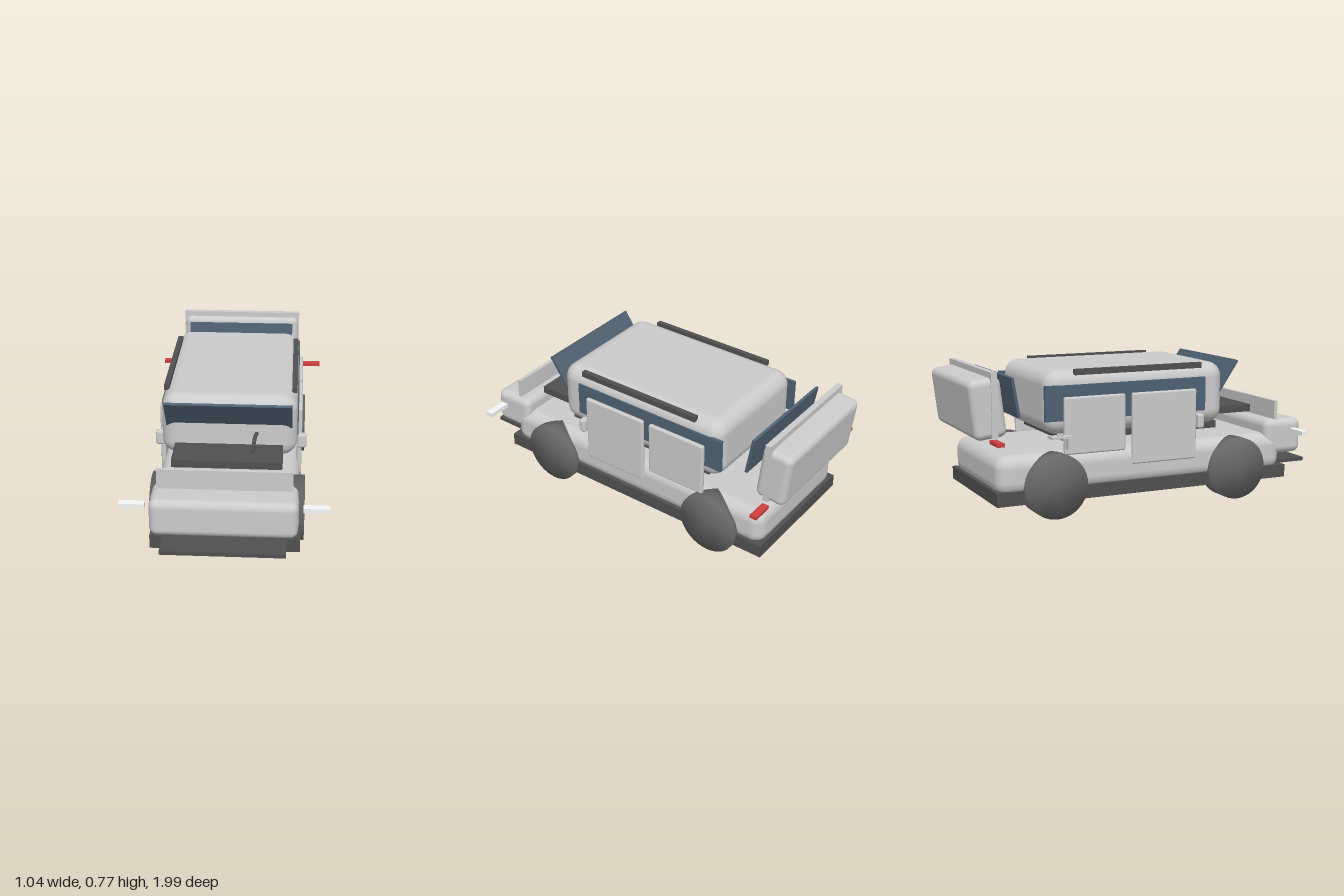
import * as THREE from 'three';
import { RoundedBoxGeometry } from 'three/addons/geometries/RoundedBoxGeometry.js';
import { mergeVertices } from 'three/addons/utils/BufferGeometryUtils.js';

const mat = (color) => new THREE.MeshStandardMaterial({ color });
const body = mat(0xcccccc);
const dark = mat(0x505050);
const tyre = mat(0x686868);
const glass = mat(0x506272);
const red = mat(0xd04040);
const white = mat(0xf4f6f8);

export function createModel() {
  const car = new THREE.Group();
  car.name = 'explodedOffroader';

  const add = (name, geo, material, x, y, z, rx = 0) => {
    const m = new THREE.Mesh(geo, material);
    m.name = name;
    m.position.set(x, y, z);
    m.rotation.x = rx;
    car.add(m);
    return m;
  };
  // Boxes given by their extents [min, max] on each axis, optionally rounded
  const box = (name, material, [x0, x1], [y0, y1], [z0, z1], r = 0) => {
    const s = [x1 - x0, y1 - y0, z1 - z0];
    const geo = r ? new RoundedBoxGeometry(...s, 4, r) : new THREE.BoxGeometry(...s);
    return add(name, geo, material, (x0 + x1) / 2, (y0 + y1) / 2, (z0 + z1) / 2);
  };

  // Chassis and lower body
  box('chassis', dark, [-0.378, 0.378], [0.09, 0.16], [-0.87, 0.83]);
  box('lowerBody', body, [-0.37, 0.37], [0.13, 0.34], [-0.86, 0.815], 0.07);

  // Detached nose
  box('frontSplitter', dark, [-0.31, 0.31], [0.155, 0.175], [0.78, 1]);
  box('noseBlock', body, [-0.365, 0.365], [0.22, 0.415], [0.71, 0.945], 0.04);
  box('hoodPanel', body, [-0.338, 0.338], [0.38, 0.518], [0.78, 0.8]);

  // Cabin, its floor and glazing
  box('cabin', body, [-0.352, 0.352], [0.42, 0.755], [-0.585, 0.453], 0.08);
  box('cabinFloor', dark, [-0.28, 0.28], [0.385, 0.425], [-0.48, 0.435]);
  add('windshield', new THREE.BoxGeometry(0.65, 0.2, 0.015), glass, 0, 0.674, 0.485, 0.6);
  add('rearWindow', new THREE.BoxGeometry(0.62, 0.208, 0.015), glass, 0, 0.628, -0.738, -0.17);

  // Dashboard and steering wheel
  box('dashboard', dark, [-0.28, 0.28], [0.46, 0.5], [0.38, 0.657]);
  const wheel = add('steeringWheel', new THREE.TorusGeometry(0.072, 0.01, 10, 32), dark, 0.14, 0.495, 0.48);
  wheel.rotation.set(0, Math.PI / 2 - 0.15, 0);

  // Detached tailgate
  box('tailgateFrame', body, [-0.35, 0.35], [0.435, 0.768], [-0.88, -0.848]);
  add('tailgate', new RoundedBoxGeometry(0.686, 0.305, 0.17, 4, 0.035), body, 0, 0.583, -0.893, -0.12);

  // Open fuel flap on the right side
  box('fuelFlap', body, [-0.415, -0.35], [0.418, 0.43], [-0.585, -0.475]);
  box('fuelFlapHinge', body, [-0.415, -0.36], [0.36, 0.418], [-0.498, -0.475]);
  add('fuelCap', new THREE.CylinderGeometry(0.018, 0.018, 0.012, 20), body, -0.385, 0.435, -0.53);

  // Wheels: one continuous smooth surface over tread and caps
  let tyreGeo = new THREE.CylinderGeometry(0.17, 0.17, 0.115, 40);
  tyreGeo.deleteAttribute('normal');
  tyreGeo.deleteAttribute('uv');
  tyreGeo = mergeVertices(tyreGeo);
  tyreGeo.computeVertexNormals();
  tyreGeo.rotateZ(Math.PI / 2);

  // Parts mirrored left and right
  for (const [side, s] of [['left', 1], ['right', -1]]) {
    const span = (a, b) => (s > 0 ? [a, b] : [-b, -a]);
    add(side + 'FrontWheel', tyreGeo, tyre, s * 0.34, 0.17, 0.51);
    add(side + 'RearWheel', tyreGeo, tyre, s * 0.34, 0.17, -0.553);
    box(side + 'FrontDoor', body, span(0.352, 0.378), [0.245, 0.623], [-0.118, 0.262], 0.01);
    box(side + 'RearDoor', body, span(0.352, 0.378), [0.325, 0.623], [-0.502, -0.158], 0.01);
    box(side + 'SideWindow', glass, span(0.34, 0.358), [0.5, 0.683], [-0.6, 0.325]);
    box(side + 'RoofRail', dark, span(0.32, 0.348), [0.73, 0.76], [-0.43, 0.305]);
    box(side + 'Mirror', body, span(0.352, 0.402), [0.41, 0.488], [0.26, 0.298], 0.012);
    box(side + 'Headlight', white, span(0.39, 0.52), [0.345, 0.368], [0.845, 0.885]);
    box(side + 'TailLight', red, span(0.37, 0.485), [0.417, 0.436], [-0.9, -0.862]);
  }
  return car;
}
